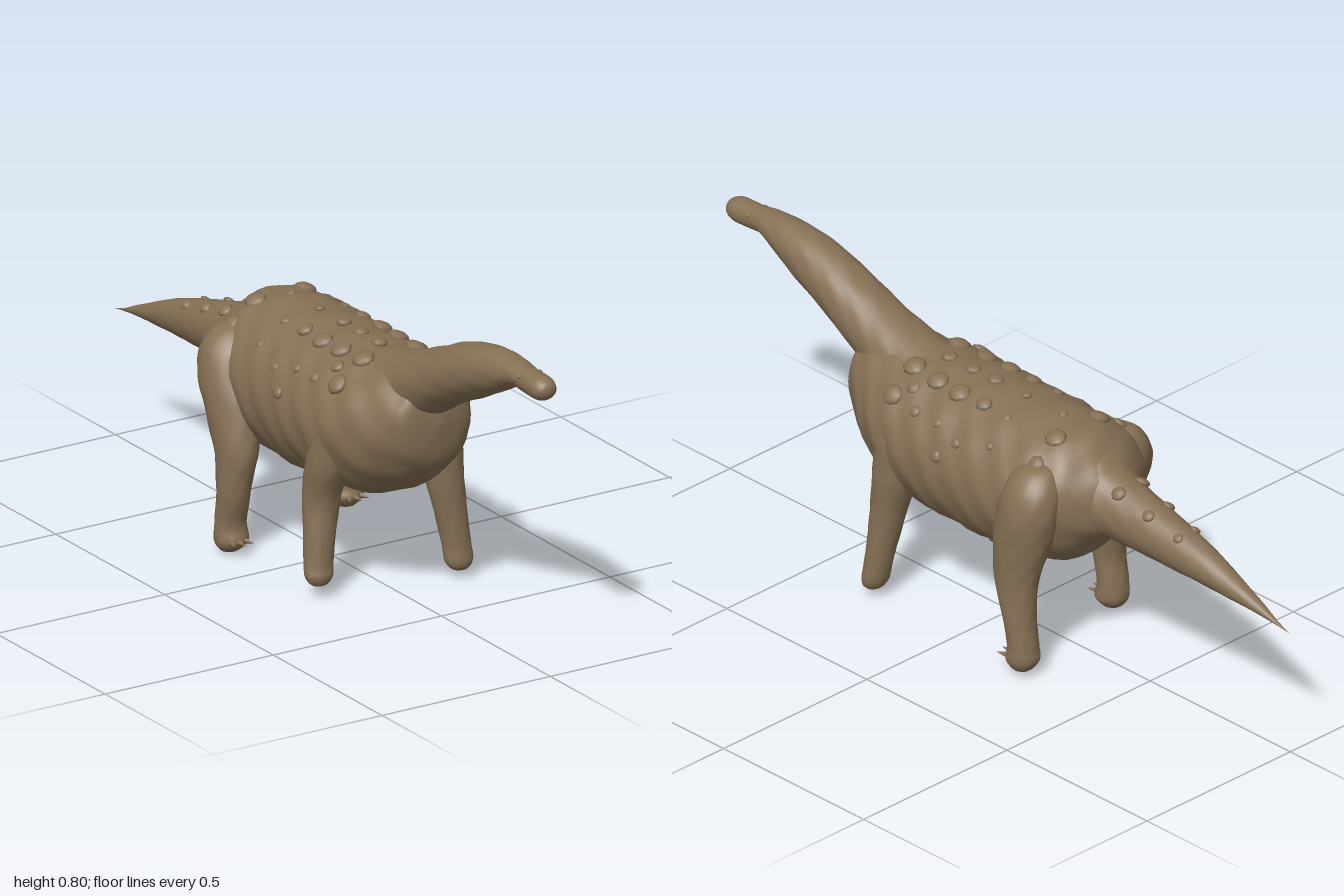
import * as THREE from 'three';

const hide = new THREE.MeshStandardMaterial({ color: 0x857054 });
hide.name = 'brown hide';

// Smooth interpolation through rows of numbers; s runs 0..rows-1
function sampleRows(rows, s) {
  const i = Math.min(Math.floor(s), rows.length - 2), f = s - i;
  const row = k => rows[Math.max(0, Math.min(rows.length - 1, k))];
  return row(i).map((p1, c) => {
    const p0 = row(i - 1)[c], p2 = row(i + 1)[c], p3 = row(i + 2)[c];
    const v = p1 + 0.5 * f * (p2 - p0 + f * (2 * p0 - 5 * p1 + 4 * p2 - p3 + f * (3 * (p1 - p2) + p3 - p0)));
    return THREE.MathUtils.clamp(v, Math.min(p1, p2), Math.max(p1, p2));
  });
}

// Skin over elliptical rings [t, u, v, ru, rv] stacked along t.
// Upright lofts run along y (u = z, v = x); others run along z (u = x, v = y).
function loft(name, rings, { upright = false, sides = 32, steps = 6, rough = 0.012 } = {}) {
  const pos = [], index = [], n = (rings.length - 1) * steps;
  for (let i = 0; i <= n; i++) {
    const [t, u, v, ru, rv] = sampleRows(rings, i / steps);
    for (let j = 0; j < sides; j++) {
      const a = j / sides * Math.PI * 2;
      const k = 1 + rough * (Math.sin(a * 5 + t * 41) + Math.sin(a * 8 - t * 63 + 1));
      const U = u + ru * k * Math.cos(a), V = v + rv * k * Math.sin(a);
      pos.push(...(upright ? [V, t, U] : [U, V, t]));
      if (i < n) {
        const b = i * sides + j, c = i * sides + (j + 1) % sides;
        index.push(b, c, c + sides, b, c + sides, b + sides);
      }
    }
  }
  const g = new THREE.BufferGeometry();
  g.setAttribute('position', new THREE.Float32BufferAttribute(pos, 3));
  g.setIndex(index);
  g.computeVertexNormals();
  const m = new THREE.Mesh(g, hide);
  m.name = name;
  return m;
}

// Ring along z from its bottom, top and half width
const span = ([z, bottom, top, w]) => [z, 0, (bottom + top) / 2, w, (top - bottom) / 2];

const bodyRings = [
  [-0.41, 0.46, 0.46, 0], [-0.39, 0.38, 0.54, 0.07], [-0.34, 0.34, 0.585, 0.135],
  [-0.29, 0.285, 0.625, 0.18], [-0.2, 0.25, 0.64, 0.205], [-0.05, 0.238, 0.642, 0.21],
  [0.1, 0.24, 0.64, 0.212], [0.22, 0.252, 0.64, 0.21], [0.3, 0.272, 0.64, 0.195],
  [0.38, 0.31, 0.64, 0.16], [0.44, 0.36, 0.635, 0.125], [0.48, 0.41, 0.61, 0.09], [0.496, 0.51, 0.51, 0],
].map(span);

const tailRings = [
  [-1, 0.338, 0.338, 0], [-0.95, 0.346, 0.356, 0.006], [-0.88, 0.354, 0.388, 0.018],
  [-0.7, 0.365, 0.462, 0.045], [-0.5, 0.37, 0.52, 0.066], [-0.4, 0.372, 0.548, 0.08],
  [-0.35, 0.355, 0.58, 0.1], [-0.28, 0.33, 0.61, 0.12],
].map(span);

const neckRings = [
  [0.2, 0.45, 0.63, 0.11], [0.3, 0.46, 0.652, 0.105], [0.4, 0.49, 0.682, 0.094],
  [0.5, 0.545, 0.722, 0.084], [0.6, 0.602, 0.765, 0.076], [0.7, 0.65, 0.793, 0.067],
  [0.78, 0.69, 0.803, 0.055], [0.86, 0.732, 0.8, 0.04], [0.91, 0.735, 0.793, 0.033],
].map(span);

const headRings = [
  [0.84, 0.735, 0.798, 0.034], [0.9, 0.729, 0.796, 0.034], [0.96, 0.727, 0.793, 0.035],
  [0.985, 0.735, 0.785, 0.028], [0.996, 0.747, 0.775, 0.016], [1, 0.76, 0.762, 0],
].map(span);

// Shift ring centres in z toward the foot so each leg can stride
const legRings = (side, rows) => rows.map(([y, z, x, rz, rx]) => [y, z, side * x, rz, rx]);

function frontLeg(side) {
  const back = side > 0 ? 0 : 0.07, low = side > 0 ? 0.018 : 0.03;
  return loft(side > 0 ? 'leftFrontLeg' : 'rightFrontLeg', legRings(side, [
    [low, 0.295 - back, 0.186, 0, 0], [low + 0.008, 0.295 - back, 0.186, 0.02, 0.024],
    [low + 0.03, 0.292 - back, 0.185, 0.032, 0.038], [0.09, 0.285 - back, 0.182, 0.034, 0.039],
    [0.17, 0.276 - back, 0.172, 0.039, 0.043], [0.26, 0.266 - back, 0.16, 0.048, 0.05],
    [0.36, 0.25 - back * 0.4, 0.155, 0.062, 0.057], [0.47, 0.24, 0.148, 0.06, 0.055], [0.54, 0.23, 0.13, 0, 0],
  ]), { upright: true, sides: 20 });
}

function hindLeg(side) {
  const fwd = side > 0 ? 0 : 0.085, low = side > 0 ? 0.01 : 0;
  const group = new THREE.Group();
  group.name = side > 0 ? 'leftHindLeg' : 'rightHindLeg';
  group.add(loft('hindLimb', legRings(side, [
    [low, -0.25 + fwd, 0.2, 0, 0], [low + 0.008, -0.25 + fwd, 0.2, 0.024, 0.026],
    [low + 0.035, -0.247 + fwd, 0.197, 0.044, 0.044], [0.08, -0.25 + fwd, 0.198, 0.038, 0.042],
    [0.16, -0.235 + fwd, 0.198, 0.044, 0.043], [0.26, -0.218 + fwd * 0.8, 0.19, 0.063, 0.05],
    [0.36, -0.225 + fwd * 0.5, 0.178, 0.082, 0.065], [0.45, -0.24 + fwd * 0.25, 0.17, 0.086, 0.072],
    [0.52, -0.245 + fwd * 0.1, 0.158, 0.075, 0.066], [0.565, -0.245, 0.142, 0.045, 0.042], [0.58, -0.245, 0.135, 0, 0],
  ]), { upright: true, sides: 24 }));
  // Three forward pointing claws
  for (const k of [-1, 0, 1]) {
    const claw = new THREE.Mesh(new THREE.ConeGeometry(0.011, 0.045, 8), hide);
    claw.name = 'claw';
    claw.position.set(side * 0.2 + k * 0.022, low + 0.037, -0.198 + fwd - Math.abs(k) * 0.006);
    claw.rotation.set(Math.PI / 2, 0, -k * 0.3);
    group.add(claw);
  }
  return group;
}

// Flattened armour knob seated on the upper surface of a loft at x, z
function knob(rings, x, z, r) {
  let i = 0;
  while (i < rings.length - 2 && rings[i + 1][0] < z) i++;
  const [, , cy, rx, ry] = sampleRows(rings, i + (z - rings[i][0]) / (rings[i + 1][0] - rings[i][0]));
  const q = THREE.MathUtils.clamp(x / rx, -0.99, 0.99), h = Math.sqrt(1 - q * q);
  const m = new THREE.Mesh(new THREE.SphereGeometry(r, 9, 6), hide);
  m.name = 'armourKnob';
  m.scale.set(0.95, 0.5, 1);
  m.position.set(q * rx, cy + ry * h, z);
  m.rotation.z = -Math.atan2(q / rx, h / ry);
  return m;
}

export function createModel() {
  const model = new THREE.Group();
  model.name = 'longNeckedDinosaur';
  model.add(
    loft('body', bodyRings, { sides: 40 }),
    loft('tail', tailRings, { rough: 0.008 }),
    loft('neck', neckRings, { rough: 0.008 }),
    loft('head', headRings, { rough: 0.004 }),
  );
  const armour = new THREE.Group();
  armour.name = 'backArmour';

  // Single row along the spine
  for (const z of [0.215, 0.13, 0.05, -0.06, -0.19]) armour.add(knob(bodyRings, 0, z, z < -0.05 ? 0.014 : 0.022));

  for (const side of [-1, 1]) {
    model.add(frontLeg(side), hindLeg(side));
    const eye = new THREE.Mesh(new THREE.SphereGeometry(0.006, 10, 8), hide);
    eye.name = 'eye';
    eye.position.set(side * 0.031, 0.777, 0.905);
    model.add(eye);

    // Paired rows: x, z, radius
    for (const [x, z, r] of [
      [0.078, 0.26, 0.032], [0.155, 0.26, 0.03], [0.125, 0.215, 0.02], [0.085, 0.17, 0.03],
      [0.165, 0.17, 0.016], [0.088, 0.09, 0.03], [0.165, 0.09, 0.015], [0.086, 0.005, 0.023],
      [0.18, 0.01, 0.014], [0.203, 0.06, 0.018], [0.09, -0.08, 0.015], [0.16, -0.09, 0.012],
      [0.075, -0.24, 0.03], [0.145, -0.24, 0.024],
    ]) armour.add(knob(bodyRings, side * x, z, r));
    for (const [x, z, r] of [[0.042, -0.43, 0.021], [0.036, -0.53, 0.018], [0.03, -0.63, 0.015]])
      armour.add(knob(tailRings, side * x, z, r));
  }
  model.add(armour);
  return model;
}
